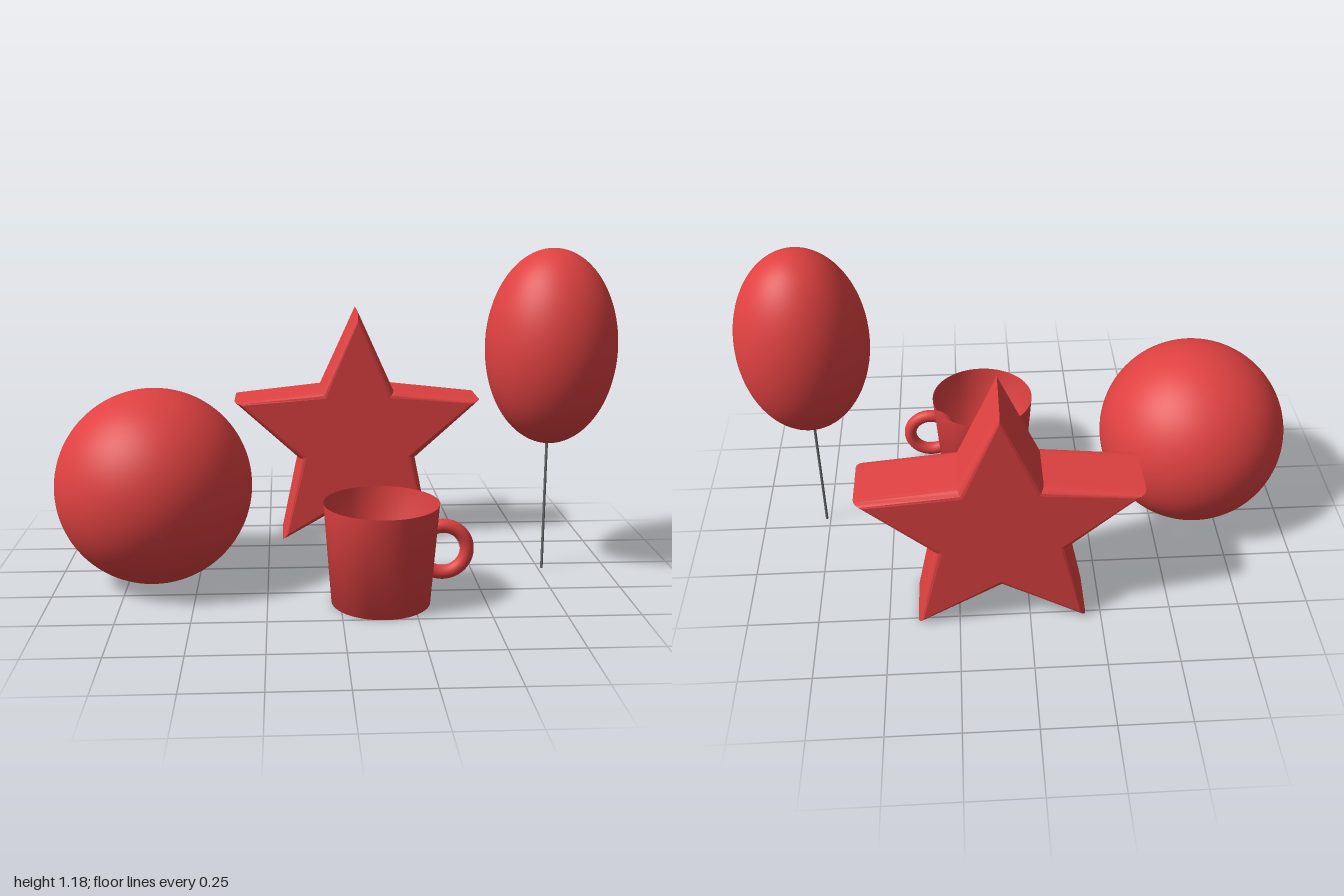
import * as THREE from 'three';

export function createModel() {
  const model = new THREE.Group();
  const red = new THREE.MeshStandardMaterial({ color: 0xe04141, side: THREE.DoubleSide });
  red.name = 'red';
  const grey = new THREE.MeshStandardMaterial({ color: 0x666a6c });
  grey.name = 'string grey';

  function add(parent, name, geometry, material, x, y, z) {
    const mesh = new THREE.Mesh(geometry, material);
    mesh.name = name;
    mesh.position.set(x, y, z);
    parent.add(mesh);
    return mesh;
  }
  function group(name, x, z) {
    const g = new THREE.Group();
    g.name = name;
    g.position.set(x, 0, z);
    model.add(g);
    return g;
  }

  // Ball
  add(model, 'ball', new THREE.SphereGeometry(0.348, 64, 48), red, -0.652, 0.355, 0.083);

  // Balloon: stretched sphere on a straight string
  const balloon = group('balloon', 0.765, 0.044);
  add(balloon, 'balloonBody', new THREE.SphereGeometry(0.233, 64, 48), red, 0, 0.838, 0).scale.y = 1.5;
  add(balloon, 'balloonString', new THREE.CylinderGeometry(0.005, 0.005, 0.49, 12), grey, 0, 0.25, 0);

  // Star: five points, rounded front and back edges
  const star = new THREE.Shape();
  for (let i = 0; i < 10; i++) {
    const r = i % 2 ? 0.211 : 0.47;
    const a = Math.PI / 2 + (i * Math.PI) / 5;
    const x = r * Math.cos(a), y = r * Math.sin(a);
    if (i) star.lineTo(x, y);
    else star.moveTo(x, y);
  }
  star.closePath();
  const starGeometry = new THREE.ExtrudeGeometry(star, {
    depth: 0.165, bevelEnabled: true, bevelSize: 0.025, bevelThickness: 0.035, bevelSegments: 4,
  });
  add(model, 'star', starGeometry, red, 0.1, 0.414, -0.498);

  // Mug: thin tapered cup with a ring handle passing through its wall
  const mug = group('mug', 0.139, 0.335);
  const profile = [[0, 0.005], [0.17, 0.005], [0.197, 0.358]].map(([x, y]) => new THREE.Vector2(x, y));
  add(mug, 'mugCup', new THREE.LatheGeometry(profile, 64), red, 0, 0, 0);
  add(mug, 'mugHandle', new THREE.TorusGeometry(0.083, 0.024, 20, 48), red, 0.211, 0.189, 0);

  return model;
}
